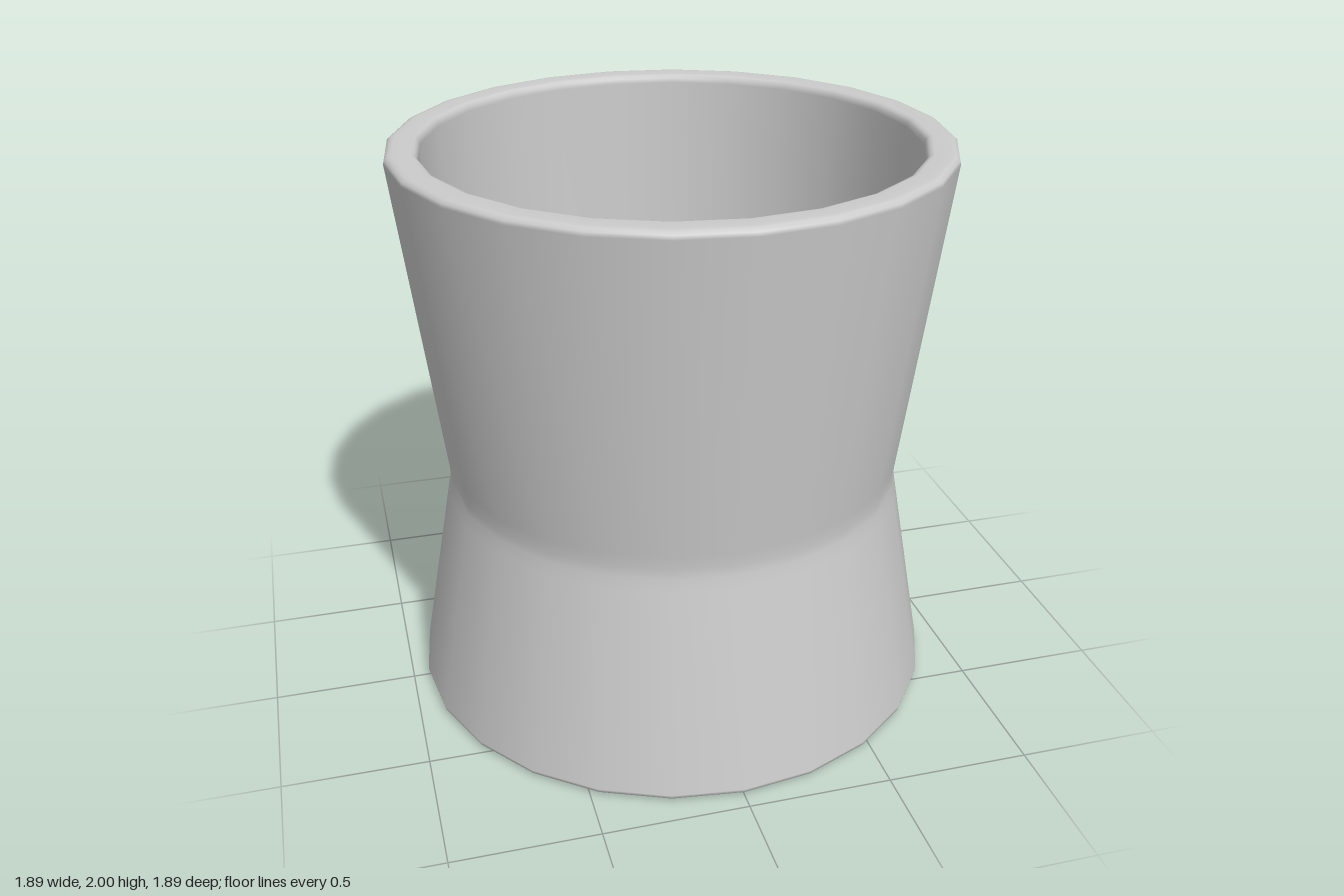
import * as THREE from 'three';

const SIDES = 24;

export function createModel() {
  const model = new THREE.Group();
  const material = new THREE.MeshStandardMaterial({ color: 0xcccccc });

  // Closed profile: underside, waisted outer wall, rim, inner wall, floor
  const profile = [
    [0, 0], [0.91, 0], [0.93, 0.003], [0.942, 0.012], [0.945, 0.025],
    [0.815, 0.74], [0.806, 0.785], [0.805, 0.82], [0.809, 0.87],
    [0.945, 1.975], [0.942, 1.988], [0.93, 1.997], [0.915, 2],
    [0.86, 2], [0.847, 1.996], [0.838, 1.986], [0.835, 1.97],
    [0.81, 0.975], [0.803, 0.958], [0.785, 0.95], [0, 0.95],
  ].map(([r, y]) => new THREE.Vector2(r, y));

  const cup = new THREE.Mesh(new THREE.LatheGeometry(profile, SIDES), material);
  cup.name = 'waistedCup';
  model.add(cup);
  return model;
}
